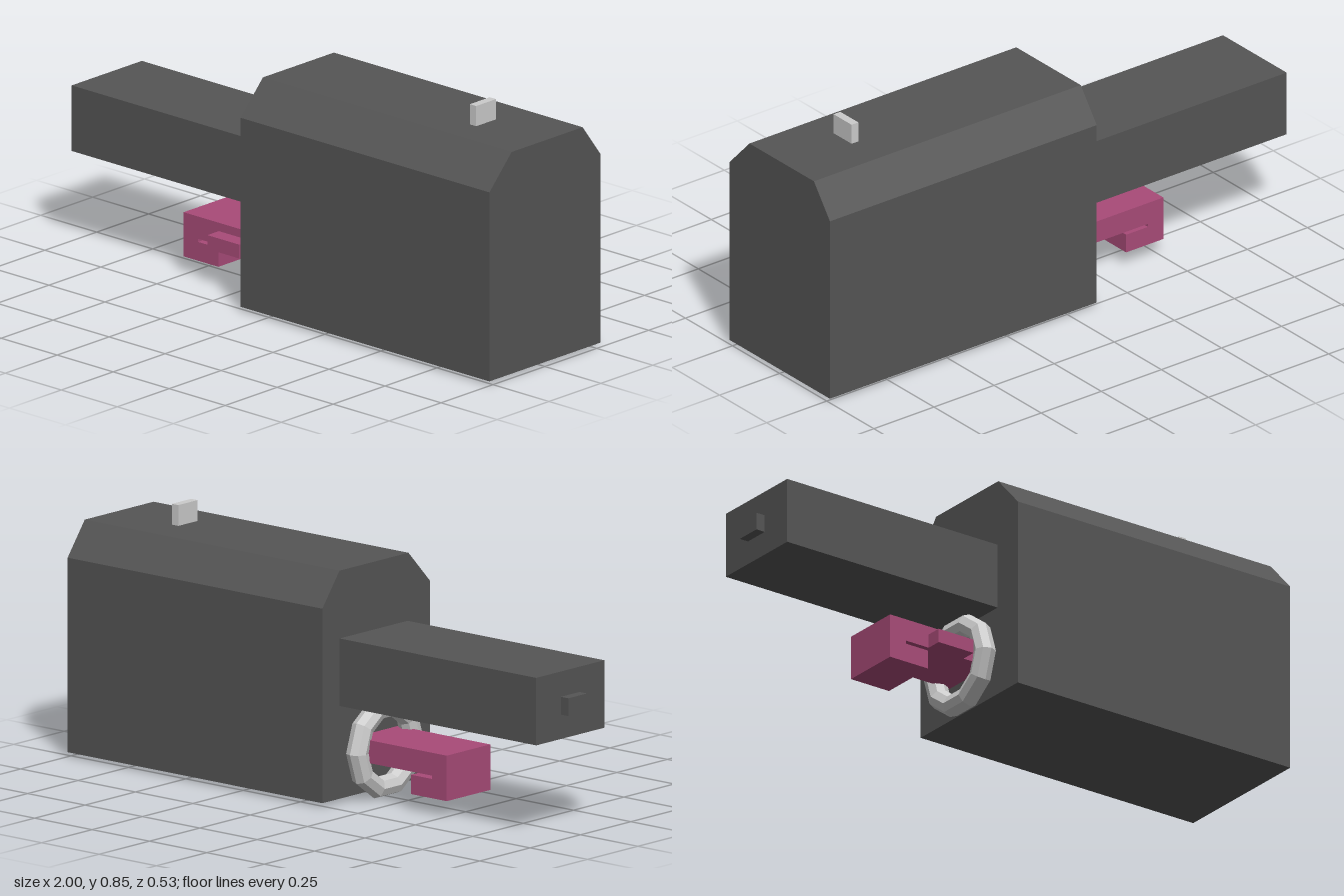
import * as THREE from 'three';

const material = (color) => new THREE.MeshStandardMaterial({ color, flatShading: true });

export function createModel() {
  const model = new THREE.Group();
  const dark = material(0x555555);
  const pale = material(0xcccccc);
  const pink = material(0xa84b78);

  const add = (name, geometry, mat) => {
    const mesh = new THREE.Mesh(geometry, mat);
    mesh.name = name;
    model.add(mesh);
    return mesh;
  };

  // Box given by its extents on each axis
  const box = (name, [x0, x1], [y0, y1], [z0, z1], mat) =>
    add(name, new THREE.BoxGeometry(x1 - x0, y1 - y0, z1 - z0), mat)
      .position.set((x0 + x1) / 2, (y0 + y1) / 2, (z0 + z1) / 2);

  // Outline extruded along its third axis
  const extrude = (points, depth) => new THREE.ExtrudeGeometry(
    new THREE.Shape(points.map(([x, y]) => new THREE.Vector2(x, y))),
    { depth, bevelEnabled: false });

  // Main body: chamfered section in (-z, y), run along x
  const body = extrude([
    [-0.267, 0.016], [0.267, 0.016], [0.267, 0.67],
    [0.182, 0.783], [-0.16, 0.783], [-0.267, 0.67],
  ], 1.11);
  body.rotateY(Math.PI / 2);
  add('body', body, dark).position.x = -0.11;

  // Barrel, its tip and the sight on top
  box('barrel', [-0.967, -0.1], [0.328, 0.555], [-0.182, 0.156], dark);
  box('barrelTip', [-1, -0.96], [0.41, 0.47], [-0.06, 0.032], dark);
  box('sight', [0.71, 0.738], [0.775, 0.853], [-0.048, 0.048], pale);

  // Low-poly ring in front of the body
  const ring = new THREE.TorusGeometry(0.137, 0.037, 8, 10);
  ring.rotateY(Math.PI / 2);
  add('ring', ring, pale).position.set(-0.148, 0.166, 0);

  // Hooked grip reaching through the ring
  const hook = extrude([
    [-0.512, 0.057], [-0.357, 0.057], [-0.357, 0.122], [-0.448, 0.122],
    [-0.448, 0.133], [-0.11, 0.133], [-0.11, 0.21], [-0.512, 0.21],
  ], 0.216);
  add('hook', hook, pink).position.z = -0.108;
  box('hookSidePiece', [-0.355, -0.213], [0.133, 0.181], [0.05, 0.163], pink);

  return model;
}
